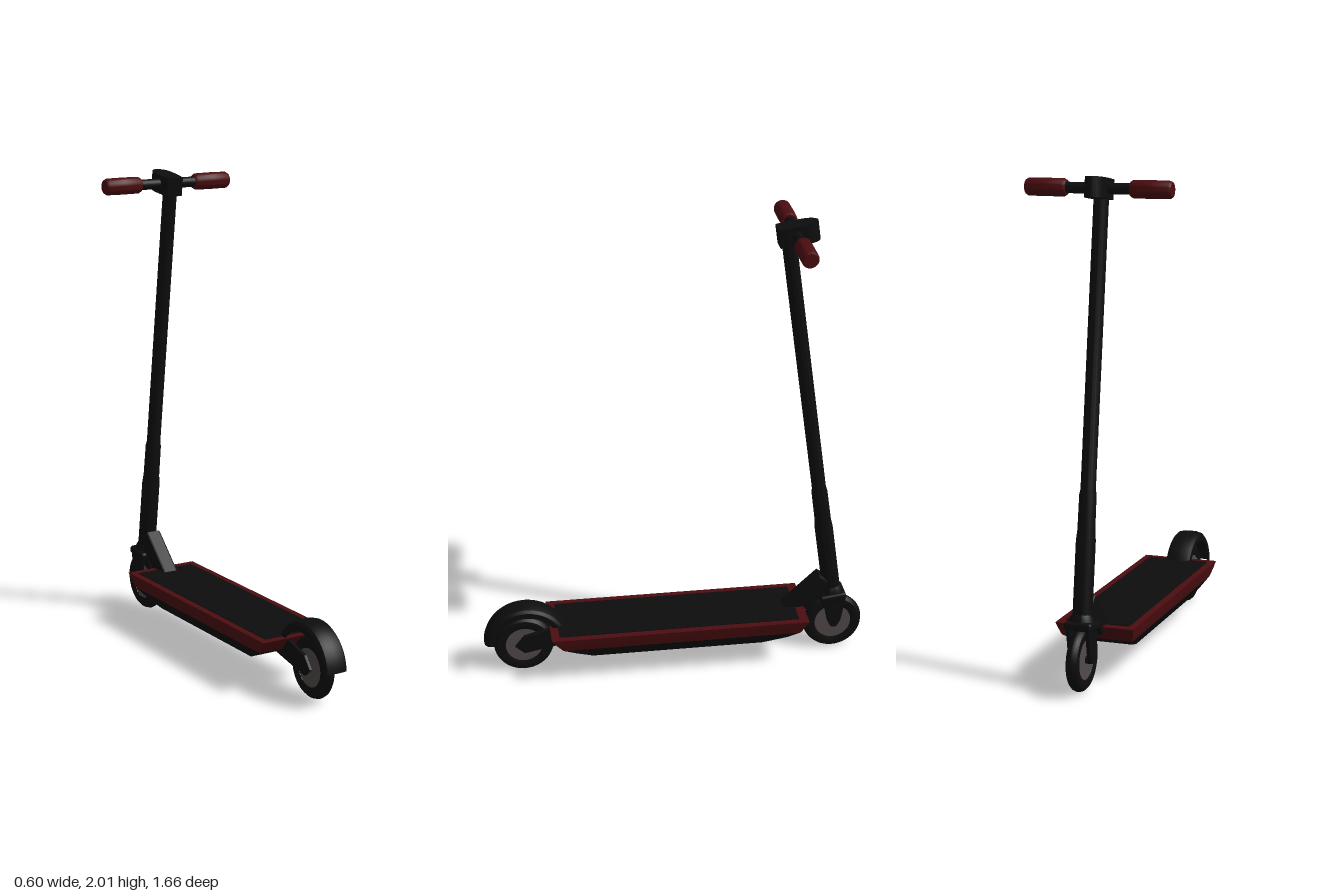
import * as THREE from 'three';
import { toCreasedNormals } from 'three/addons/utils/BufferGeometryUtils.js';
import { RoundedBoxGeometry } from 'three/addons/geometries/RoundedBoxGeometry.js';

const black = new THREE.MeshStandardMaterial({ color: 0x0d0d0d });
const red = new THREE.MeshStandardMaterial({ color: 0x4c0d10 });
const grey = new THREE.MeshStandardMaterial({ color: 0x524a4a });
const blackOpen = black.clone();
blackOpen.side = THREE.DoubleSide;

function add(parent, name, geometry, material, x = 0, y = 0, z = 0) {
  const mesh = new THREE.Mesh(geometry, material);
  mesh.name = name;
  mesh.position.set(x, y, z);
  parent.add(mesh);
  return mesh;
}

const points = (list) => list.map(([a, b]) => new THREE.Vector2(a, b));

// Profile of [radius, height] turned about the y axis
function turned(profile, segments = 32, start = 0, sweep = Math.PI * 2) {
  return toCreasedNormals(new THREE.LatheGeometry(points(profile), segments, start, sweep), 0.6);
}

// Outline of [z, y] given a thickness along x
function sidePlate(outline, width, bevel = 0) {
  const depth = width - 2 * bevel;
  const g = new THREE.ExtrudeGeometry(new THREE.Shape(points(outline)), {
    depth, bevelEnabled: bevel > 0, bevelSize: bevel, bevelThickness: bevel, bevelOffset: -bevel, bevelSegments: 2,
  });
  g.translate(0, 0, -depth / 2);
  g.rotateY(-Math.PI / 2);
  return g;
}

// Rectangular levels [y, half width, z front, z back], listed from bottom to top
function levels(list) {
  const pos = [], index = [];
  for (const [y, w, z0, z1] of list) pos.push(-w, y, z1, w, y, z1, w, y, z0, -w, y, z0);
  for (let l = 0; l < list.length - 1; l++) {
    for (let i = 0; i < 4; i++) {
      const a = l * 4 + i, b = l * 4 + (i + 1) % 4;
      index.push(a, b, b + 4, a, b + 4, a + 4);
    }
  }
  const t = (list.length - 1) * 4;
  index.push(0, 2, 1, 0, 3, 2, t, t + 1, t + 2, t, t + 2, t + 3);
  const g = new THREE.BufferGeometry();
  g.setAttribute('position', new THREE.Float32BufferAttribute(pos, 3));
  g.setIndex(index);
  return toCreasedNormals(g, 0.1);
}

function wheel(name, z) {
  const group = new THREE.Group();
  group.name = name;
  group.position.set(0, 0.13, z);
  const tyre = turned([[0.08, -0.02], [0.1, -0.026], [0.116, -0.023], [0.126, -0.013], [0.13, 0],
    [0.126, 0.013], [0.116, 0.023], [0.1, 0.026], [0.08, 0.02]], 48);
  add(group, 'tyre', tyre.rotateZ(Math.PI / 2), black);
  add(group, 'rim', new THREE.CylinderGeometry(0.081, 0.081, 0.038, 40).rotateZ(Math.PI / 2), grey);
  add(group, 'axle', new THREE.CylinderGeometry(0.016, 0.016, 0.09, 20).rotateZ(Math.PI / 2), black);
  return group;
}

export function createModel() {
  const model = new THREE.Group();
  model.name = 'kickScooter';

  // Deck
  add(model, 'deckRim', levels([[0.165, 0.15, -0.53, 0.5], [0.2, 0.16, -0.55, 0.53], [0.225, 0.165, -0.565, 0.55]]), red);
  add(model, 'deckHull', levels([[0.105, 0.11, -0.37, 0.37], [0.135, 0.13, -0.475, 0.44], [0.166, 0.15, -0.53, 0.5]]), black);
  add(model, 'footMat', new THREE.BoxGeometry(0.27, 0.01, 1.04), black, 0, 0.223, -0.005);

  // Wheels
  model.add(wheel('frontWheel', -0.7), wheel('rearWheel', 0.66));

  // Rear mudguard, a channel swept around the wheel
  const guard = turned([[0.142, -0.055], [0.165, -0.054], [0.177, -0.044], [0.182, -0.025], [0.183, 0],
    [0.182, 0.025], [0.177, 0.044], [0.165, 0.054], [0.142, 0.055], [0.142, 0.048], [0.162, 0.047],
    [0.171, 0.036], [0.174, 0], [0.171, -0.036], [0.162, -0.047], [0.142, -0.048], [0.142, -0.055]],
  32, 0.08, 2.68);
  add(model, 'rearMudguard', guard.rotateZ(Math.PI / 2), blackOpen, 0, 0.14, 0.65);

  // Rear wheel arms and fork legs, mirrored
  for (const side of [-1, 1]) {
    add(model, 'rearArm', sidePlate([[0.46, 0.21], [0.46, 0.14], [0.6, 0.112], [0.66, 0.1],
      [0.7, 0.135], [0.66, 0.185], [0.55, 0.215]], 0.016, 0.003), black, side * 0.037);
    add(model, 'forkLeg', sidePlate([[-0.645, 0.27], [-0.67, 0.15], [-0.685, 0.12], [-0.715, 0.12],
      [-0.73, 0.15], [-0.75, 0.26]], 0.016, 0.003), black, side * 0.04);
  }

  // Neck joining the deck to the stem
  add(model, 'neck', sidePlate([[-0.46, 0.215], [-0.63, 0.375], [-0.68, 0.34], [-0.66, 0.28],
    [-0.6, 0.235], [-0.56, 0.19], [-0.5, 0.18]], 0.07, 0.008), black);

  // Leaning steering column
  const steering = new THREE.Group();
  steering.name = 'steering';
  steering.position.set(0, 0.27, -0.695);
  steering.rotation.x = 0.141;
  model.add(steering);
  add(steering, 'forkCrown', new RoundedBoxGeometry(0.115, 0.035, 0.115, 3, 0.012), black, 0, -0.005, 0.003);
  add(steering, 'crownCollar', turned([[0, 0], [0.052, 0], [0.048, 0.025], [0.04, 0.04], [0, 0.04]]), black);
  add(steering, 'stem', turned([[0, 0], [0.039, 0], [0.039, 0.33], [0.035, 0.37], [0.034, 0.51],
    [0.03, 0.53], [0.03, 1.66], [0, 1.66]]), black);

  // Head block, straight behind and rounded ahead
  const outline = new THREE.Shape();
  outline.moveTo(-0.035, -0.072);
  outline.lineTo(0.035, -0.072);
  outline.quadraticCurveTo(0.041, -0.03, 0.041, 0.03);
  outline.bezierCurveTo(0.04, 0.12, -0.04, 0.12, -0.041, 0.03);
  outline.quadraticCurveTo(-0.041, -0.03, -0.035, -0.072);
  const head = new THREE.ExtrudeGeometry(outline, { depth: 0.08, bevelEnabled: false, curveSegments: 12 });
  head.translate(0, 0, -0.04).rotateX(-Math.PI / 2);
  add(steering, 'headBlock', toCreasedNormals(head, 0.6), black, 0, 1.697, -0.03);

  // Handlebar and grips
  add(steering, 'handlebar', new THREE.CylinderGeometry(0.022, 0.022, 0.5, 24).rotateZ(Math.PI / 2), black, 0, 1.697, -0.031);
  const grip = turned([[0, -0.084], [0.029, -0.084], [0.035, -0.074], [0.036, 0], [0.035, 0.074], [0.029, 0.084], [0, 0.084]]);
  grip.rotateZ(Math.PI / 2);
  for (const side of [-1, 1]) add(steering, 'grip', grip, red, side * 0.216, 1.697, -0.031);

  return model;
}
